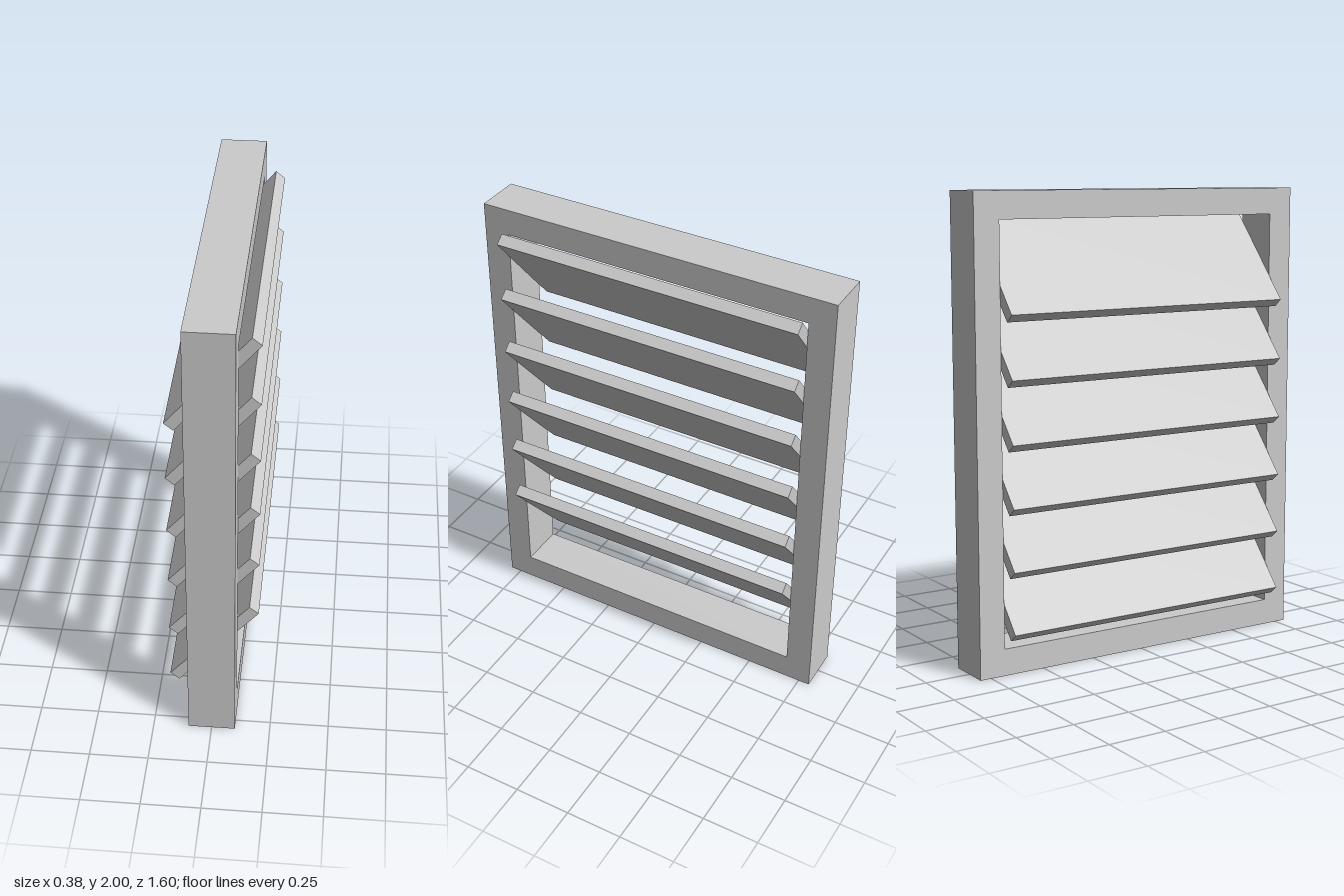
import * as THREE from 'three';

const material = new THREE.MeshStandardMaterial({ color: 0xcccccc });

// Closed rectangular outline
function rectangle(target, x0, y0, x1, y1) {
  target.moveTo(x0, y0);
  target.lineTo(x1, y0);
  target.lineTo(x1, y1);
  target.lineTo(x0, y1);
  target.closePath();
  return target;
}

export function createModel() {
  const group = new THREE.Group();
  group.name = 'louvredVent';

  // Rectangular frame with one opening, its depth running along x
  const depth = 0.2, border = 0.115;
  const outline = rectangle(new THREE.Shape(), -0.8, 0, 0.8, 2);
  outline.holes.push(rectangle(new THREE.Path(), -0.8 + border, border, 0.8 - border, 2 - border));
  const frameGeometry = new THREE.ExtrudeGeometry(outline, { depth, bevelEnabled: false });
  frameGeometry.translate(0, 0, -depth / 2).rotateY(Math.PI / 2);
  const frame = new THREE.Mesh(frameGeometry, material);
  frame.name = 'frame';
  group.add(frame);

  // Six evenly spaced slats, tilted so that the +x edge is high
  const slats = new THREE.Group();
  slats.name = 'slats';
  const slatGeometry = new THREE.BoxGeometry(0.527, 0.05, 1.366);
  for (let i = 0; i < 6; i++) {
    const slat = new THREE.Mesh(slatGeometry, material);
    slat.name = `slat${i + 1}`;
    slat.position.y = 0.38 + i * 0.2634;
    slat.rotation.z = THREE.MathUtils.degToRad(50);
    slats.add(slat);
  }
  group.add(slats);

  return group;
}
